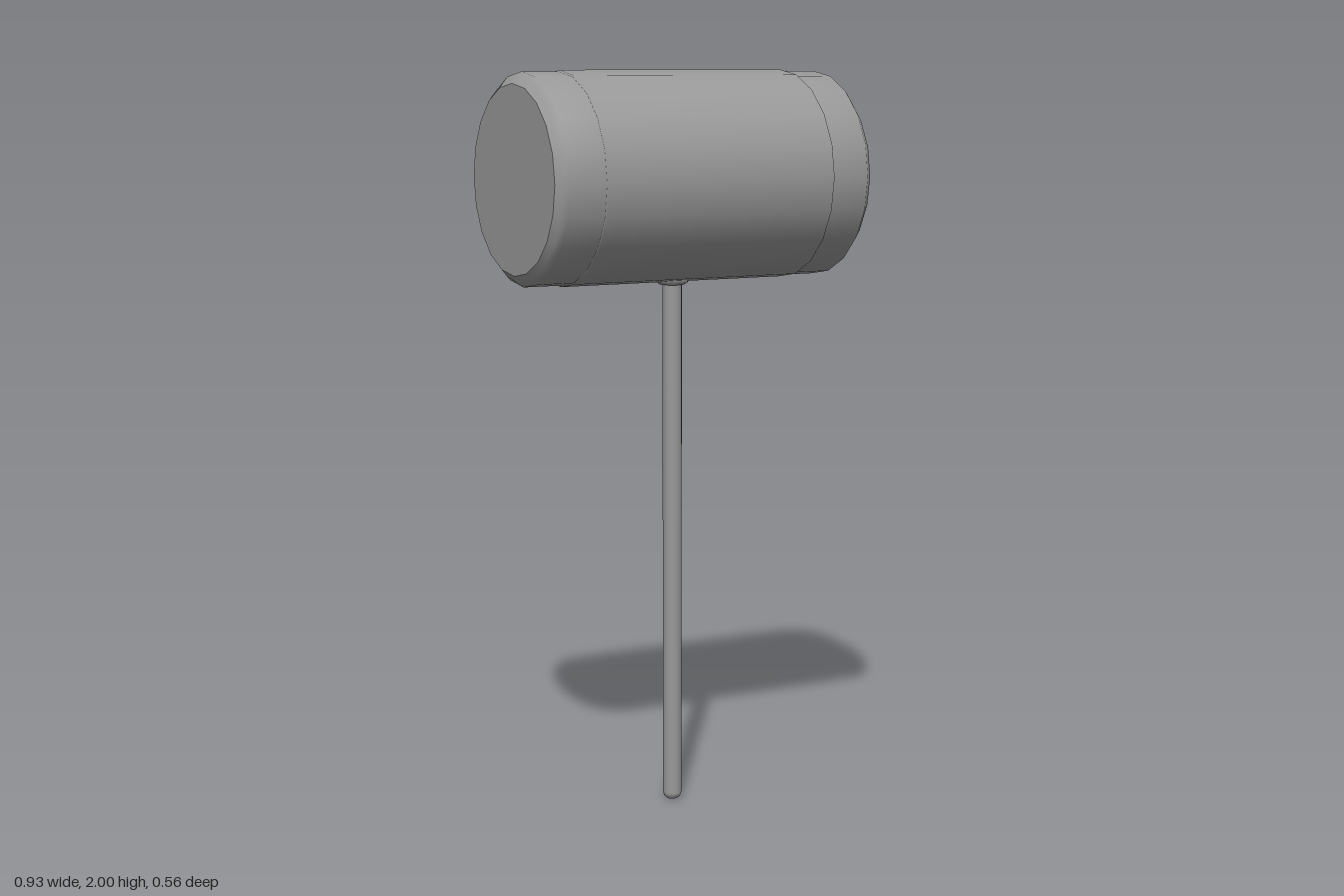
import * as THREE from 'three';

const material = new THREE.MeshStandardMaterial({ color: 0x999999 });
const SIDES = 20;

function part(name, geometry) {
  const mesh = new THREE.Mesh(geometry, material);
  mesh.name = name;
  return mesh;
}

// Surface of revolution from [radius, height] pairs, listed bottom to top
function lathe(name, profile, sides) {
  return part(name, new THREE.LatheGeometry(profile.map(([r, y]) => new THREE.Vector2(r, y)), sides));
}

function disc(name, radius, height) {
  const mesh = part(name, new THREE.CircleGeometry(radius, SIDES).rotateX(-Math.PI / 2));
  mesh.position.y = height;
  return mesh;
}

export function createModel() {
  const model = new THREE.Group();
  model.name = 'mallet';

  // Head lies along x
  const head = new THREE.Group();
  head.name = 'head';
  head.position.y = 1.719;
  model.add(head);

  // Barrel with slightly eased rims
  const barrel = lathe('barrel', [
    [0.275, -0.337], [0.281, -0.333], [0.281, 0.333], [0.275, 0.337]
  ], SIDES);
  barrel.rotation.z = -Math.PI / 2;
  head.add(barrel);

  // Bevelled striking ends, slightly slimmer than the barrel
  for (const side of [1, -1]) {
    const end = new THREE.Group();
    end.name = side > 0 ? 'leftEnd' : 'rightEnd';
    end.rotation.z = -side * Math.PI / 2;
    end.add(
      lathe('endBand', [[0.277, 0.33], [0.277, 0.44], [0.262, 0.454], [0.247, 0.467]], SIDES),
      disc('strikingFace', 0.247, 0.467)
    );
    head.add(end);
  }

  // Handle with a rounded foot, running up into the head
  model.add(lathe('handle', [
    [0, 0], [0.014, 0.002], [0.022, 0.008], [0.026, 0.02], [0.026, 1.5]
  ], 16));

  // Small collar where the handle enters the head
  model.add(lathe('collar', [
    [0.024, 1.43], [0.034, 1.431], [0.042, 1.437], [0.044, 1.445], [0.044, 1.47]
  ], 16));

  return model;
}
